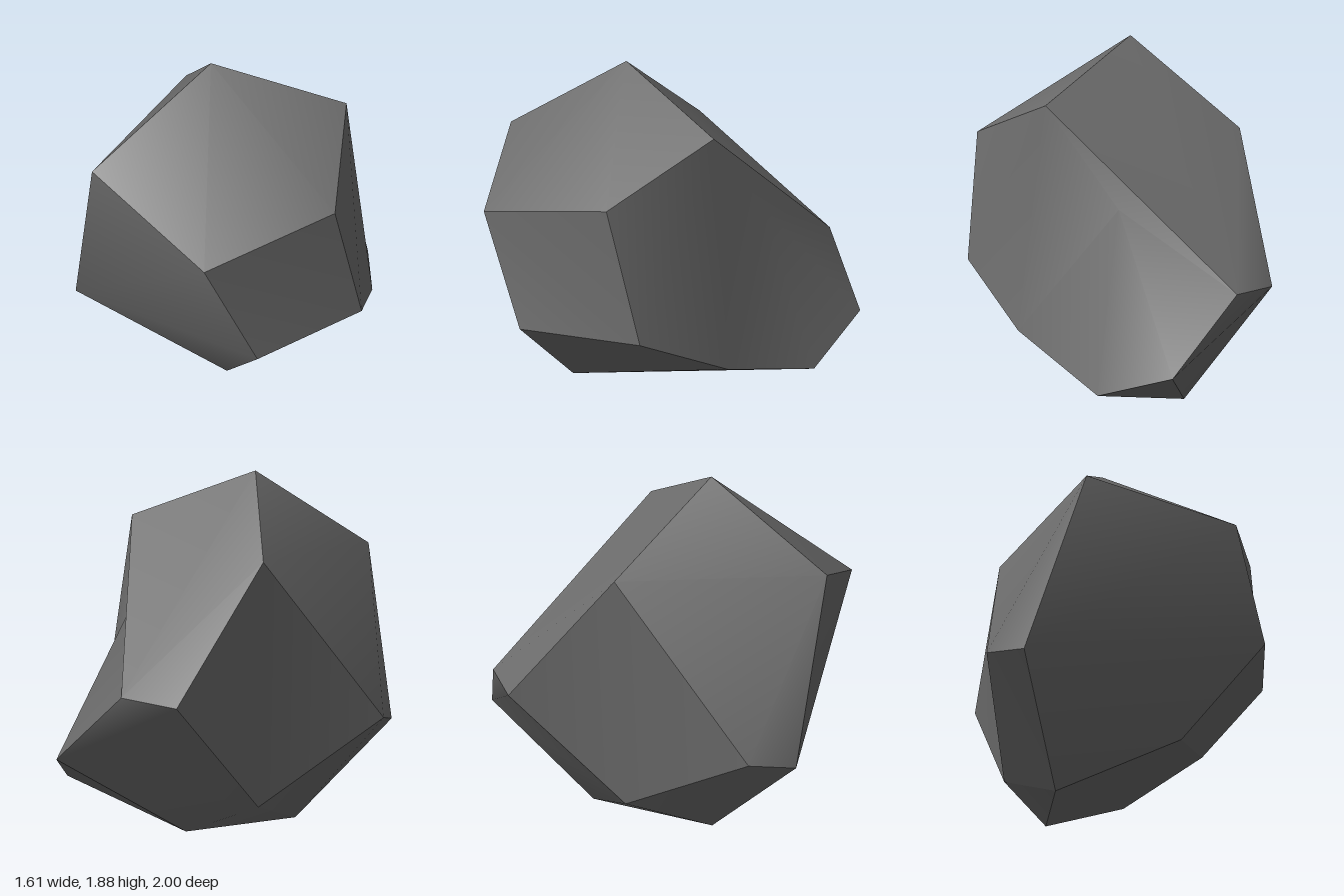
import * as THREE from 'three';
import { mergeGeometries } from 'three/addons/utils/BufferGeometryUtils.js';

// Corners of the boulder
const corners = {
  A: [-0.07, 1.883, 0.155], B: [0.58, 1.64, -0.05], C: [0.66, 1.38, 0.54],
  D: [0.14, 1.257, 1.0], E: [-0.535, 1.475, 0.65], F: [-0.808, 0.59, 0.2],
  G: [-0.76, 0.53, 0.46], H: [-0.335, 0.0, 0.12], I: [0.02, 0.037, -0.485],
  J: [0.12, 0.24, 0.55], K: [0.38, 0.697, 0.91], L: [0.805, 0.715, 0.43],
  M: [0.78, 0.47, -0.06], N: [0.655, 0.295, -0.625], P: [0.09, 0.835, -1.0],
  Q: [0.47, 0.488, -1.0], R: [-0.38, 1.455, -0.4], T: [-0.18, 0.795, -0.94],
  U: [-0.335, 0.18, -0.355],
  V: [0.39, 1.16, -0.42], // dent in the left flank
};

// Each facet is one or more corner fans, smooth inside and sharp at its rim
const facets = [
  ['AEDCB'],            // upper front
  ['PTRAB'],            // upper back
  ['GHJKDE'],           // front
  ['DKLC'],             // front left
  ['VQPBMNQ', 'BCLM'],  // dented left flank
  ['EGFRA'],            // right flank
  ['RFUT'],             // back right
  ['FGHU'],             // lower right
  ['TPQU', 'UQIH'],     // lower back
  ['QNI'],              // back chip
  ['JHINM'],            // underside
  ['JMLK'],             // lower front left
];

const centre = new THREE.Vector3(0.05, 0.85, 0);

function facetGeometry(fans) {
  const names = [...new Set(fans.join(''))];
  const points = names.map((n) => new THREE.Vector3(...corners[n]));
  const index = [];
  for (const fan of fans) {
    for (let i = 1; i < fan.length - 1; i++) {
      const [a, b, c] = [fan[0], fan[i], fan[i + 1]].map((n) => names.indexOf(n));
      // Wind every triangle outward
      const normal = new THREE.Triangle(points[a], points[b], points[c]).getNormal(new THREE.Vector3());
      const outward = normal.dot(points[a].clone().sub(centre)) > 0;
      index.push(a, ...(outward ? [b, c] : [c, b]));
    }
  }
  const geometry = new THREE.BufferGeometry().setFromPoints(points);
  geometry.setIndex(index);
  geometry.computeVertexNormals();
  return geometry;
}

export function createModel() {
  const stone = new THREE.MeshStandardMaterial({ color: 0x6b6b6b });
  stone.name = 'stone grey';
  const boulder = new THREE.Mesh(mergeGeometries(facets.map(facetGeometry)), stone);
  boulder.name = 'boulder';
  const group = new THREE.Group();
  group.name = 'rock';
  group.add(boulder);
  return group;
}
